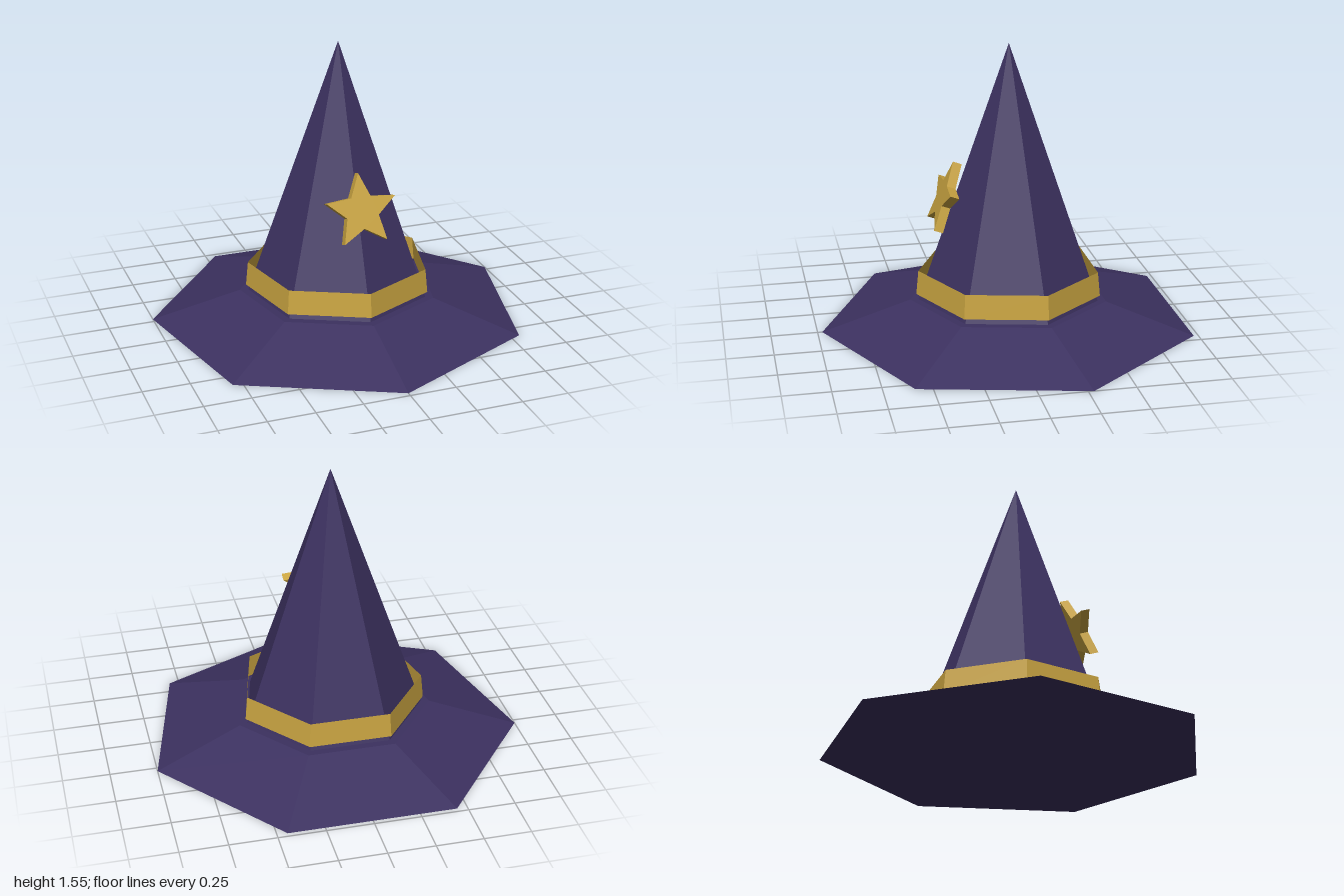
import * as THREE from 'three';

const SIDES = 7;
const CENTER_Z = -0.051;

export function createModel() {
  const hat = new THREE.Group();
  hat.name = 'pointedHat';

  const purple = new THREE.MeshStandardMaterial({ color: 0x3c3160 });
  purple.name = 'purple felt';
  const gold = new THREE.MeshStandardMaterial({ color: 0xc9a441 });
  gold.name = 'gold trim';
  gold.side = THREE.DoubleSide;
  purple.flatShading = gold.flatShading = true;

  // Seven-sided ring or cone standing between two heights, one corner to the front
  const tier = (name, rTop, rBottom, y0, y1, material, open = false) => {
    const geometry = new THREE.CylinderGeometry(rTop, rBottom, y1 - y0, SIDES, 1, open);
    const mesh = new THREE.Mesh(geometry, material);
    mesh.name = name;
    mesh.position.set(0, (y0 + y1) / 2, CENTER_Z);
    hat.add(mesh);
  };

  tier('brim', 0.544, 1.026, 0, 0.15, purple);
  tier('crown', 0, 0.5, 0.145, 1.55, purple);
  tier('band', 0.497, 0.51, 0.18, 0.313, gold, true);

  // Five-pointed star leaning back along the crown
  const shape = new THREE.Shape();
  for (let i = 0; i < 10; i++) {
    const r = i % 2 ? 0.092 : 0.2;
    const a = Math.PI / 2 + (i * Math.PI) / 5;
    const x = r * Math.cos(a), y = r * Math.sin(a);
    if (i) shape.lineTo(x, y);
    else shape.moveTo(x, y);
  }
  shape.closePath();
  const starGeometry = new THREE.ExtrudeGeometry(shape, { depth: 0.05, bevelEnabled: false });
  starGeometry.translate(0, 0, -0.025);
  const star = new THREE.Mesh(starGeometry, gold);
  star.name = 'star';
  star.position.set(0, 0.723, 0.296);
  star.rotation.x = -0.35;
  hat.add(star);

  return hat;
}
